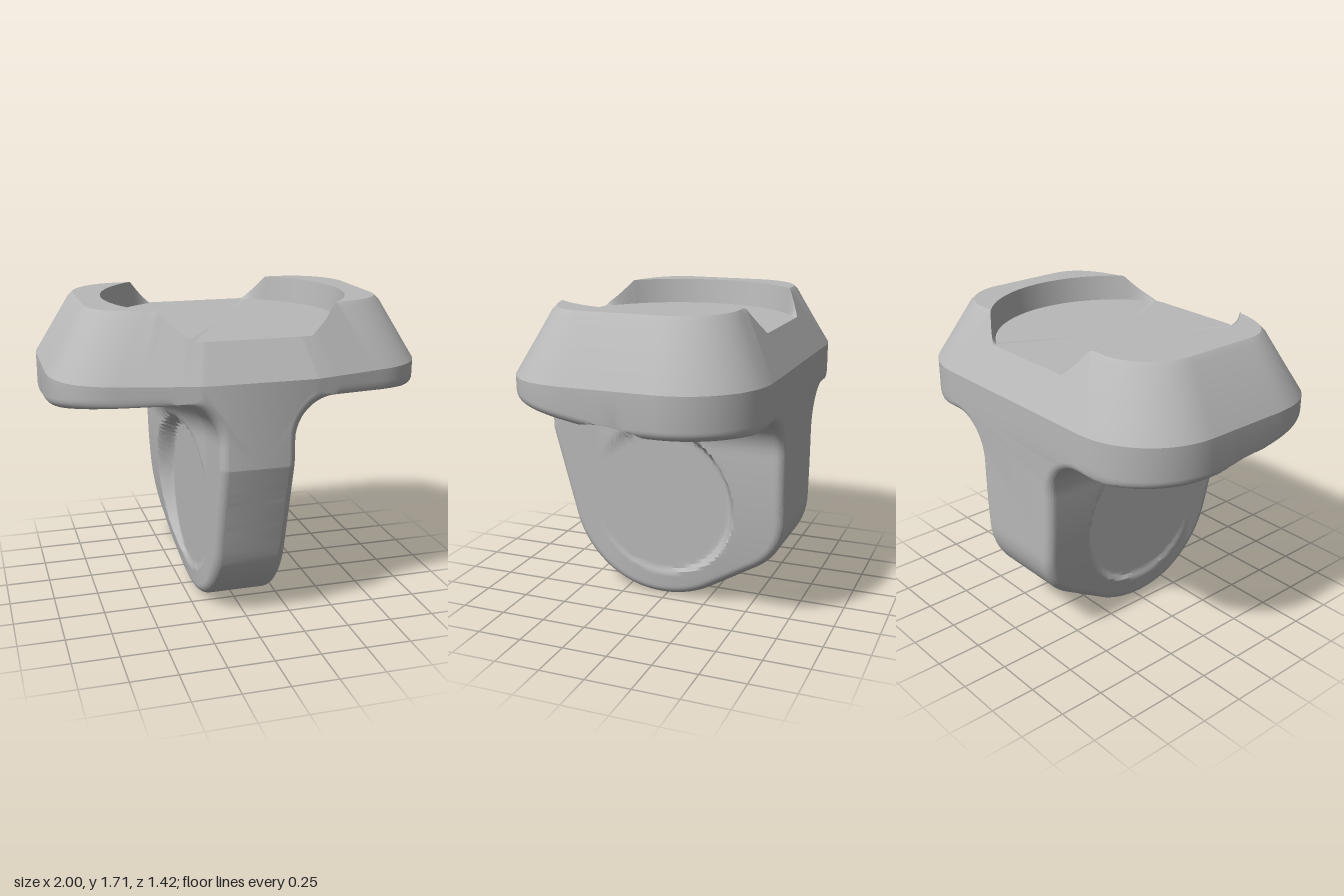
import * as THREE from 'three';
import { mergeGeometries, toCreasedNormals } from 'three/addons/utils/BufferGeometryUtils.js';

const END = 0.71, EDGE_Y = 1.38, TOP_Y = 1.715, FLOOR_Y = 1.575, ROUND = 0.05;
const clamp = THREE.MathUtils.clamp;

// Half plan outline as (x, z), from the back centre to the front centre
function planOutline(hx, zb, zf, r, cx, cz, ex, ez) {
  const p = new THREE.Path();
  p.moveTo(0, zb).lineTo(hx - r, zb);
  p.absarc(hx - r, zb + r, r, -Math.PI / 2, 0, false);
  p.lineTo(hx, 0.2).quadraticCurveTo(cx, cz, ex, ez);
  p.lineTo(0.3, zf).lineTo(0, zf);
  return p.getPoints(20);
}
const basePlan = planOutline(1, -END, END, 0.45, 1, 0.54, 0.68, 0.61);
const topPlan = planOutline(0.8, -0.52, 0.515, 0.3, 0.8, 0.4, 0.5, 0.465);

// Side profile of the stem as (z, y), from the back up-edge to the front up-edge
const stemPath = new THREE.Path();
stemPath.moveTo(-END, 2).lineTo(-END, 0.56);
stemPath.quadraticCurveTo(-END, 0.354, -0.53, 0.25);
stemPath.lineTo(-0.25, 0.075);
stemPath.absarc(0.03, 0.56, 0.56, -Math.PI * 2 / 3, -0.26, false);
stemPath.lineTo(END, 0.93).lineTo(END, 2);
const stemProfile = stemPath.getPoints(24);

// Value of a polyline at a key that rises along it
function lookup(pts, key, val, k) {
  for (let i = 1; i < pts.length; i++) {
    const a = pts[i - 1], b = pts[i];
    if (b[key] - a[key] > 1e-6 && k <= b[key] + 1e-9) {
      const t = clamp((k - a[key]) / (b[key] - a[key]), 0, 1);
      return a[val] + (b[val] - a[val]) * t;
    }
  }
  return pts[pts.length - 1][val];
}

// Distance from (z, y) to the stem profile
function edgeDistance(z, y) {
  let best = 9;
  for (let i = 1; i < stemProfile.length; i++) {
    const a = stemProfile[i - 1], b = stemProfile[i];
    const dx = b.x - a.x, dy = b.y - a.y, l = dx * dx + dy * dy || 1;
    const t = clamp(((z - a.x) * dx + (y - a.y) * dy) / l, 0, 1);
    best = Math.min(best, Math.hypot(z - a.x - dx * t, y - a.y - dy * t));
  }
  return best;
}

// Inset of a rounded edge at a distance from that edge
function roundInset(e) {
  const k = Math.max(0, ROUND - e);
  return ROUND - Math.sqrt(Math.max(0, ROUND * ROUND - k * k));
}

// Surface through equally long rows of points
function gridGeometry(rows, closed) {
  const n = rows[0].length, pos = [], idx = [];
  rows.forEach(r => r.forEach(p => pos.push(p[0], p[1], p[2])));
  for (let i = 0; i < rows.length - (closed ? 0 : 1); i++) {
    const i2 = (i + 1) % rows.length;
    for (let j = 0; j < n - 1; j++) {
      const a = i * n + j, c = i2 * n + j;
      idx.push(a, c, a + 1, c, c + 1, a + 1);
    }
  }
  const g = new THREE.BufferGeometry();
  g.setAttribute('position', new THREE.Float32BufferAttribute(pos, 3));
  g.setIndex(idx);
  return g;
}

// Conical finger scoop cut into the side of the stem and the underside
const SCOOP_Z = 0.03, SCOOP_Y = 0.57;
function scoop(x, y, z) {
  const dz = z - SCOOP_Z;
  if (x > 0.45) {
    const rc = 0.41 + 0.23 * Math.pow((x - 0.2) / 0.8, 0.7);
    return [x, Math.max(y, SCOOP_Y + Math.sqrt(Math.max(0, rc * rc - dz * dz)))];
  }
  const r = Math.hypot(dz, y - SCOOP_Y);
  return [Math.min(x, 0.2 + 0.8 * Math.pow(Math.max(0, r - 0.41) / 0.23, 1 / 0.7)), y];
}

function stemHalfWidth(z, y) {
  const k = clamp(1 - y / 0.95, 0, 1);
  return 0.2 + 0.1 * clamp((0.4 - z) / 0.7, 0, 1) * (1 - k * k);
}

// Cross-section at z: stem side, fillet, underside, rounded lip and head wall
function crossSection(z) {
  const R = 0.22, X = lookup(basePlan, 'y', 'x', z);
  const yb = lookup(stemProfile, 'x', 'y', z);
  const u = Math.max(1.155, 1.155 + (z + 0.08) * 0.17), ys = u - R;
  const d = roundInset(END - Math.abs(z));
  const half = [[0, yb]];
  const add = (x, y) => half.push(scoop(Math.min(x, X), y, z));
  for (let i = 0; i <= 44; i++) {
    const y = yb + (ys - yb) * Math.pow(i / 44, 1.6);
    add(stemHalfWidth(z, y) - roundInset(edgeDistance(z, y)), y);
  }
  const w = stemHalfWidth(z, ys);
  for (let i = 1; i <= 12; i++) {
    const a = i / 12 * Math.PI / 2;
    add(w + R - Math.cos(a) * (R + d), ys + Math.sin(a) * (R + d));
  }
  const lip = Math.max(w + R, X - ROUND);
  for (let i = 1; i <= 8; i++) add(w + R + (lip - w - R) * i / 8, u + d);
  for (let i = 1; i <= 6; i++) {
    const a = i / 6 * Math.PI / 2;
    add(lip + Math.sin(a) * (X - lip), u + d + ROUND * (1 - Math.cos(a)));
  }
  add(X, EDGE_Y);
  const right = half.slice(1).reverse().map(p => [p[0], p[1], z]);
  const left = half.slice(1).map(p => [-p[0], p[1], z]);
  return [...right, [0, yb, z], ...left];
}

function bodyGeometry() {
  const rows = [];
  for (let i = 0; i <= 120; i++) rows.push(crossSection(-END * Math.cos(i / 120 * Math.PI)));
  const cap = (row, back) => {
    const g = new THREE.ShapeGeometry(new THREE.Shape(row.map(p => new THREE.Vector2(p[0], p[1]))));
    if (back) g.rotateY(Math.PI);
    g.translate(0, 0, back ? -END : END);
    g.deleteAttribute('uv');
    g.deleteAttribute('normal');
    return g;
  };
  const parts = [gridGeometry(rows, false), cap(rows[0], true), cap(rows[120], false)];
  return toCreasedNormals(mergeGeometries(parts), 0.6);
}

// Distance from the middle to a plan outline along an angle
function rayRadius(plan, angle) {
  const s = Math.abs(Math.sin(angle)), c = Math.cos(angle);
  let best = 0;
  for (let i = 1; i < plan.length; i++) {
    const a = plan[i - 1], ex = plan[i].x - a.x, ez = plan[i].y - a.y;
    const det = s * ez - c * ex;
    if (Math.abs(det) < 1e-9) continue;
    const t = (a.x * ez - a.y * ex) / det, v = (a.x * c - a.y * s) / det;
    if (t > 0 && v >= -1e-6 && v <= 1 + 1e-6) best = Math.max(best, t);
  }
  return best;
}

// Sloped head with a round recess that breaks out at the front and back
function headGeometry() {
  const rows = [], N = 360, RIM = 0.665, FLOOR = 0.645;
  for (let i = 0; i < N; i++) {
    const a = i / N * Math.PI * 2;
    const B = rayRadius(basePlan, a), T = rayRadius(topPlan, a);
    const slope = y => B + (T - B) * (y - EDGE_Y) / (TOP_Y - EDGE_Y);
    const hit = EDGE_Y + (TOP_Y - EDGE_Y) * (B - RIM) / (B - T);
    const yr = T >= RIM ? TOP_Y : clamp(hit, FLOOR_Y, TOP_Y);
    const y0 = Math.min(yr, TOP_Y - 0.025), s = slope(yr);
    const profile = [
      [B, EDGE_Y], [slope(y0), y0],
      [T >= RIM ? Math.max(RIM, T - 0.012) : s, yr],
      [Math.min(RIM, s), yr], [Math.min(FLOOR, s), FLOOR_Y], [0, FLOOR_Y],
    ];
    rows.push(profile.map(([r, y]) => [r * Math.sin(a), y, r * Math.cos(a)]));
  }
  return toCreasedNormals(gridGeometry(rows, true), 0.6);
}

export function createModel() {
  const grey = new THREE.MeshStandardMaterial({ color: 0xb8b8b8 });
  grey.name = 'grey';
  const model = new THREE.Group();
  model.name = 'gripMount';
  const add = (name, geometry) => {
    const mesh = new THREE.Mesh(geometry, grey);
    mesh.name = name;
    model.add(mesh);
  };
  add('stemAndUnderside', bodyGeometry());
  add('headWithRecess', headGeometry());
  return model;
}
